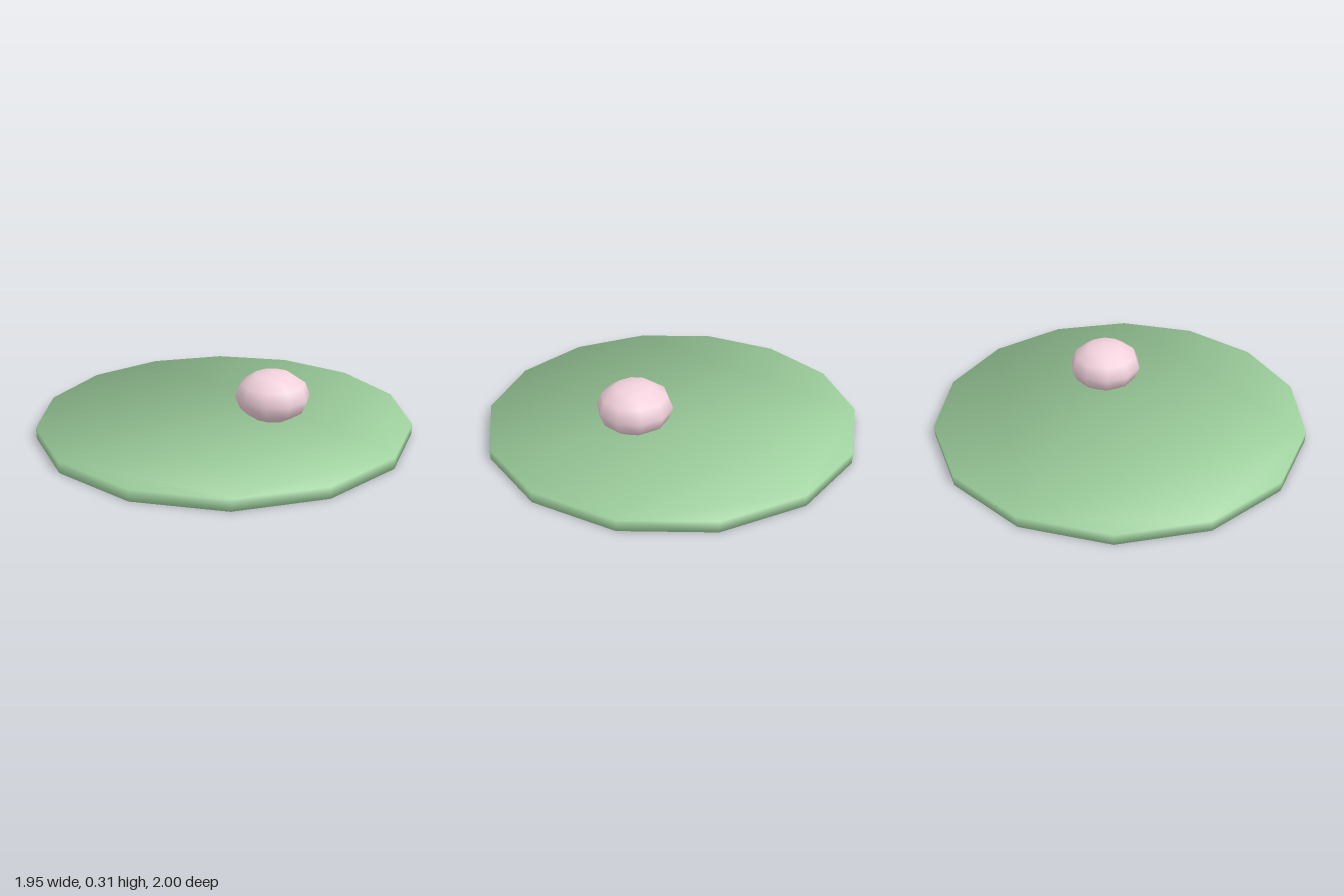
import * as THREE from 'three';

const SIDES = 14;
const THICKNESS = 0.058;

// Flat 14-sided disc whose normals are shared between faces and rim, giving soft, pillowy shading
function discGeometry() {
  const corners = [];
  for (let i = 0; i < SIDES; i++) {
    const a = (i / SIDES) * Math.PI * 2;
    corners.push(new THREE.Vector2(Math.sin(a), Math.cos(a)));
  }
  const geometry = new THREE.ExtrudeGeometry(new THREE.Shape(corners), { depth: THICKNESS, bevelEnabled: false });
  geometry.rotateX(-Math.PI / 2);
  const { position, normal } = geometry.attributes;
  const n = new THREE.Vector3();
  for (let i = 0; i < position.count; i++) {
    const up = position.getY(i) > THICKNESS / 2 ? 1 : -1;
    n.set(position.getX(i) * 1.14, up, position.getZ(i) * 1.14).normalize();
    normal.setXYZ(i, n.x, n.y, n.z);
  }
  return geometry;
}

export function createModel() {
  const model = new THREE.Group();
  model.name = 'lilyPad';

  // Floating pad
  const pad = new THREE.Mesh(discGeometry(), new THREE.MeshStandardMaterial({ color: 0xa0d2a0 }));
  pad.name = 'pad';
  model.add(pad);

  // Squashed low-sided bud, sunk slightly into the pad
  const budGeometry = new THREE.SphereGeometry(0.2, 10, 6, Math.PI / 2);
  budGeometry.scale(1, 0.68, 1);
  const bud = new THREE.Mesh(budGeometry, new THREE.MeshStandardMaterial({ color: 0xf2d2dc }));
  bud.name = 'bud';
  bud.position.set(0.227, 0.175, -0.145);
  model.add(bud);

  return model;
}
